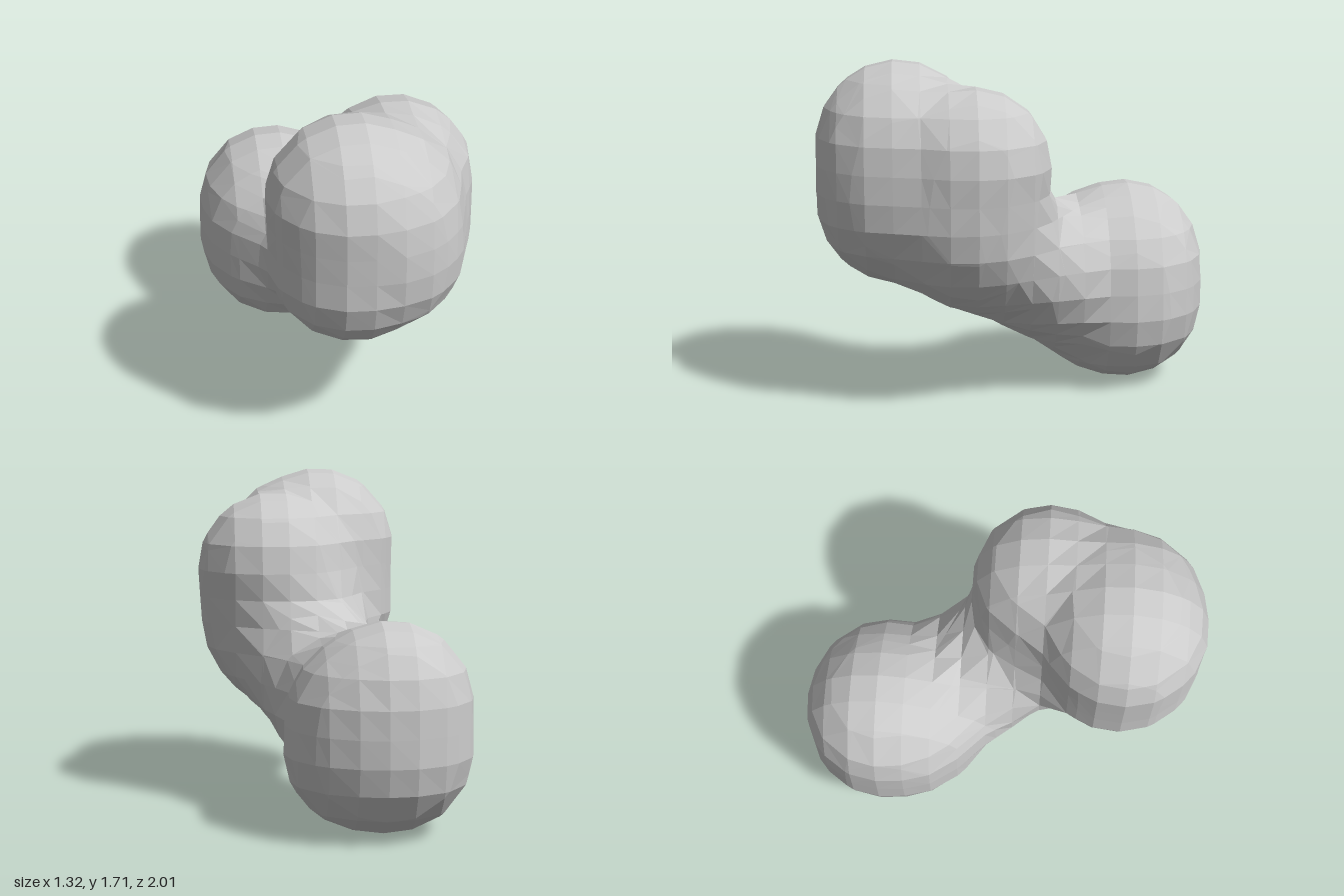
import * as THREE from 'three';

// Rounded lobes: two end points, a radius at each, and how softly they melt in
const V = (x, y, z) => new THREE.Vector3(x, y, z);
const lobes = [
  { a: V(0.01, 1.295, 0.59), b: V(0.12, 1.25, 0.58), ra: 0.415, rb: 0.415, blend: 0 },      // front lobe, top
  { a: V(0.02, 0.99, 0.585), b: V(0.14, 1.03, 0.58), ra: 0.42, rb: 0.415, blend: 0.08 },    // front lobe, bottom
  { a: V(0.27, 1.21, 0.22), b: V(0.24, 0.95, 0.27), ra: 0.39, rb: 0.41, blend: 0.11 },      // side lobe
  { a: V(0.15, 0.78, 0.16), b: V(-0.17, 0.46, -0.45), ra: 0.33, rb: 0.385, blend: 0.18 },   // neck
  { a: V(-0.255, 0.63, -0.605), b: V(-0.255, 0.41, -0.605), ra: 0.4, rb: 0.405, blend: 0.12 }, // back lobe, right
  { a: V(-0.15, 0.56, -0.595), b: V(-0.14, 0.41, -0.585), ra: 0.4, rb: 0.405, blend: 0.05 }, // back lobe, left
  { a: V(-0.24, 0.6, -0.48), b: V(-0.235, 0.42, -0.48), ra: 0.395, rb: 0.4, blend: 0.05 }   // back lobe, inner side
];

// Distance to one lobe
function lobeDistance(p, { a, b, ra, rb }) {
  const ab = b.clone().sub(a);
  const t = THREE.MathUtils.clamp(p.clone().sub(a).dot(ab) / ab.lengthSq(), 0, 1);
  return p.distanceTo(ab.multiplyScalar(t).add(a)) - THREE.MathUtils.lerp(ra, rb, t);
}

// All lobes melted together
function field(p) {
  return lobes.reduce((d, lobe) => {
    const e = lobeDistance(p, lobe);
    const overlap = Math.max(lobe.blend - Math.abs(d - e), 0);
    return Math.min(d, e) - (overlap ? overlap * overlap / (4 * lobe.blend) : 0);
  }, 100);
}

// The six faces of a grid cell, corners counter-clockwise from outside;
// each corner number holds one bit per axis
const cellFaces = [];
for (let axis = 0; axis < 3; axis++) {
  const u = 1 << ((axis + 1) % 3), v = 1 << ((axis + 2) % 3), s = 1 << axis;
  cellFaces.push([s, s + u, s + u + v, s + v], [v, u + v, u, 0]);
}

// Coarse faceted skin: cross every grid edge, link crossings into loops, fill them
function blobGeometry(origin, step, counts) {
  const positions = [];
  const [nx, ny, nz] = counts;
  const gridPoint = (i, j, k) => V(i, j, k).multiplyScalar(step).add(origin);
  const values = new Map();
  const valueAt = (i, j, k) => {
    const key = (i * 100 + j) * 100 + k;
    if (!values.has(key)) values.set(key, field(gridPoint(i, j, k)));
    return values.get(key);
  };

  for (let i = 0; i < nx; i++) for (let j = 0; j < ny; j++) for (let k = 0; k < nz; k++) {
    const corners = [], d = [];
    for (let c = 0; c < 8; c++) {
      const at = [i + (c & 1), j + ((c >> 1) & 1), k + (c >> 2)];
      corners.push(gridPoint(...at));
      d.push(valueAt(...at));
    }
    if (d.every((x) => x < 0) || d.every((x) => x >= 0)) continue;

    const edgeKey = (a, b) => Math.min(a, b) * 8 + Math.max(a, b);
    const next = new Map();
    for (const f of cellFaces) {
      for (let n = 0; n < 4; n++) {
        const a = f[n], b = f[(n + 1) % 4];
        if (d[a] < 0 || d[b] >= 0) continue;
        // entering the body: follow the face until it leaves again
        let m = n + 1;
        while (d[f[(m + 1) % 4]] < 0) m++;
        next.set(edgeKey(a, b), edgeKey(f[m % 4], f[(m + 1) % 4]));
      }
    }
    const crossing = (key) => {
      const a = key >> 3, b = key & 7;
      return corners[a].clone().lerp(corners[b], d[a] / (d[a] - d[b]));
    };
    while (next.size) {
      const loop = [];
      let key = next.keys().next().value;
      while (next.has(key)) {
        loop.push(crossing(key));
        const following = next.get(key);
        next.delete(key);
        key = following;
      }
      for (let n = 1; n < loop.length - 1; n++) {
        for (const p of [loop[0], loop[n], loop[n + 1]]) positions.push(p.x, p.y, p.z);
      }
    }
  }
  const geometry = new THREE.BufferGeometry();
  geometry.setAttribute('position', new THREE.Float32BufferAttribute(positions, 3));
  geometry.computeVertexNormals();
  return geometry;
}

export function createModel() {
  const group = new THREE.Group();
  group.name = 'blob';
  const material = new THREE.MeshStandardMaterial({ color: 0xcccccc, flatShading: true });
  const body = new THREE.Mesh(blobGeometry(V(-0.75, -0.152, -1.156), 0.136, [12, 15, 17]), material);
  body.name = 'blobBody';
  group.add(body);
  return group;
}
